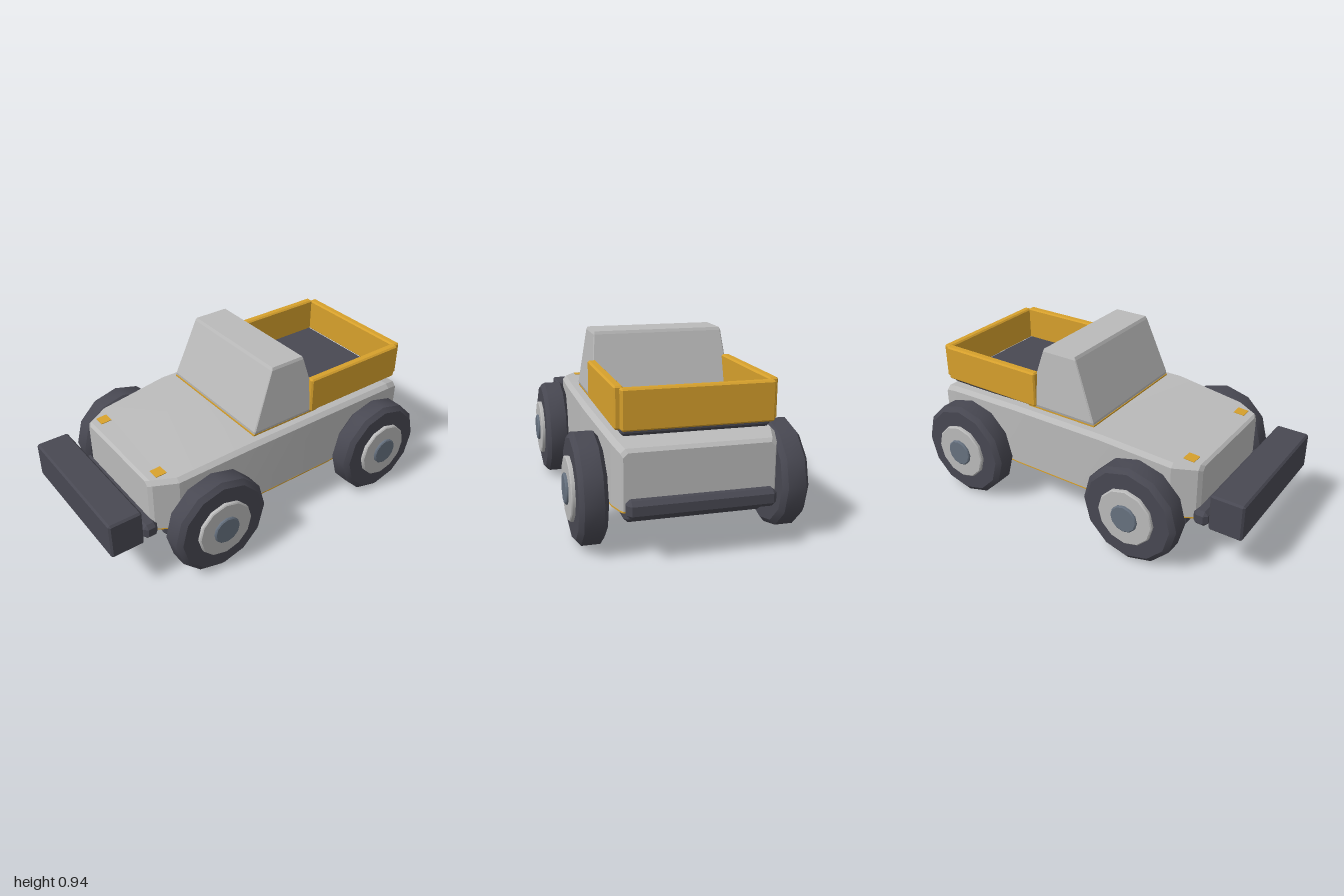
import * as THREE from 'three';
import { toCreasedNormals } from 'three/addons/utils/BufferGeometryUtils.js';
import { ConvexGeometry } from 'three/addons/geometries/ConvexGeometry.js';

const material = (name, color) => {
  const m = new THREE.MeshStandardMaterial({ color });
  m.name = name;
  return m;
};

// Box with chamfered edges; ranges are [min, max] for x, y and z
function chamferBox([x0, x1], [y0, y1], [z0, z1], b) {
  const h = [(x1 - x0) / 2, (y1 - y0) / 2, (z1 - z0) / 2];
  const points = [];
  for (const sx of [-1, 1]) for (const sy of [-1, 1]) for (const sz of [-1, 1])
    for (let full = 0; full < 3; full++) {
      const [x, y, z] = h.map((v, i) => (i === full ? v : v - b));
      points.push(new THREE.Vector3(sx * x, sy * y, sz * z));
    }
  return new ConvexGeometry(points).translate((x0 + x1) / 2, (y0 + y1) / 2, (z0 + z1) / 2);
}

// Skin along x through sections [x, halfWidth, top], with chamfered shoulders
function loft(sections, bottom, bevel) {
  const rings = sections.map(([x, w, top]) => [
    [x, bottom, w], [x, top - bevel, w], [x, top, w - bevel],
    [x, top, -w + bevel], [x, top - bevel, -w], [x, bottom, -w],
  ]);
  const pos = [];
  const tri = (...corners) => corners.forEach((c) => pos.push(...c));
  for (let i = 0; i < rings.length - 1; i++)
    for (let j = 0; j < 6; j++) {
      const k = (j + 1) % 6, a = rings[i], b = rings[i + 1];
      tri(a[j], b[j], b[k]);
      tri(a[j], b[k], a[k]);
    }
  const first = rings[0], last = rings[rings.length - 1];
  for (let j = 1; j < 5; j++) {
    tri(first[0], first[j], first[j + 1]);
    tri(last[0], last[j + 1], last[j]);
  }
  const g = new THREE.BufferGeometry();
  g.setAttribute('position', new THREE.Float32BufferAttribute(pos, 3));
  return toCreasedNormals(g, 0.2);
}

// Twelve-sided disc turned to face +z, from a [radius, z] profile
function disc(profile) {
  const g = new THREE.LatheGeometry(profile.map(([r, z]) => new THREE.Vector2(r, z)), 12);
  return toCreasedNormals(g.rotateX(Math.PI / 2), 0.6);
}

export function createModel() {
  const model = new THREE.Group();
  model.name = 'pickupTruck';
  const grey = material('grey paint', 0xbababa);
  const yellow = material('ochre paint', 0xd6a02c);
  const dark = material('dark rubber', 0x484852);
  const steel = material('steel blue', 0x66717f);

  const add = (name, geometry, mat, parent = model) => {
    const mesh = new THREE.Mesh(geometry, mat);
    mesh.name = name;
    parent.add(mesh);
    return mesh;
  };

  // Body shell and its coloured underside
  const sections = [
    [-0.73, 0.305, 0.53], [-0.715, 0.33, 0.543], [-0.6, 0.395, 0.55], [-0.2, 0.427, 0.59],
    [0.36, 0.427, 0.59], [0.84, 0.393, 0.556], [0.925, 0.368, 0.53], [0.94, 0.358, 0.513],
  ];
  add('body', loft(sections, 0.244, 0.022), grey);
  add('bodyUnderside', loft(sections.map(([x, w]) => [x, w, 0.244]), 0.236, 0.001), yellow);
  add('chassis', chamferBox([-0.66, 0.87], [0.155, 0.24], [-0.34, 0.34], 0.02), dark);

  // Cab: a chamfered box tapered towards the roof
  const cab = chamferBox([0, 1], [0.6, 0.94], [-1, 1], 0.015);
  const p = cab.attributes.position;
  for (let i = 0; i < p.count; i++) {
    const t = (p.getY(i) - 0.6) / 0.34;
    const front = -0.13 + 0.135 * t, back = 0.31 - 0.105 * t;
    p.setX(i, front + (back - front) * p.getX(i));
    p.setZ(i, p.getZ(i) * (0.375 - 0.032 * t));
  }
  cab.computeVertexNormals();
  add('cab', cab, grey);
  add('cabBase', new THREE.BoxGeometry(0.43, 0.009, 0.74).translate(0.088, 0.596, 0), yellow);

  // Cargo bed
  add('bedFloor', chamferBox([0.25, 0.88], [0.57, 0.612], [-0.355, 0.355], 0.015), dark);
  for (const [name, z] of [['leftBedSide', 0.3625], ['rightBedSide', -0.3625]])
    add(name, chamferBox([0.245, 0.878], [0.603, 0.8], [z - 0.0225, z + 0.0225], 0.008), yellow);
  add('tailgate', chamferBox([0.874, 0.919], [0.603, 0.795], [-0.36, 0.36], 0.008), yellow);

  // Bumpers and front block
  add('frontBumper', chamferBox([-0.79, -0.71], [0.22, 0.305], [-0.36, 0.36], 0.02), dark);
  add('rearBumper', chamferBox([0.93, 1], [0.22, 0.305], [-0.352, 0.352], 0.02), dark);
  add('frontBlock', chamferBox([-1, -0.82], [0.26, 0.462], [-0.404, 0.404], 0.01), dark);

  // Lamps lying on the sloping bonnet
  for (const z of [0.28, -0.28]) {
    const lamp = add('lamp', new THREE.BoxGeometry(0.06, 0.008, 0.062), yellow);
    lamp.position.set(-0.65, 0.546, z);
    lamp.rotation.z = 0.06;
  }

  // Wheels
  const tyre = disc([[0, -0.067], [0.245, -0.067], [0.272, -0.045], [0.272, 0.045], [0.245, 0.067], [0, 0.067]]);
  const hub = disc([[0.158, 0.06], [0.158, 0.082], [0.152, 0.087], [0, 0.087]]);
  const cap = disc([[0.076, 0.08], [0.076, 0.095], [0.07, 0.1], [0, 0.1]]);
  for (const x of [-0.445, 0.66])
    for (const side of [1, -1]) {
      const wheel = new THREE.Group();
      wheel.name = (x < 0 ? 'front' : 'rear') + (side > 0 ? 'LeftWheel' : 'RightWheel');
      add('tyre', tyre, dark, wheel);
      add('hub', hub, grey, wheel);
      add('hubCap', cap, steel, wheel);
      wheel.position.set(x, 0.273, side * 0.483);
      if (side < 0) wheel.rotation.y = Math.PI;
      model.add(wheel);
    }
  return model;
}
